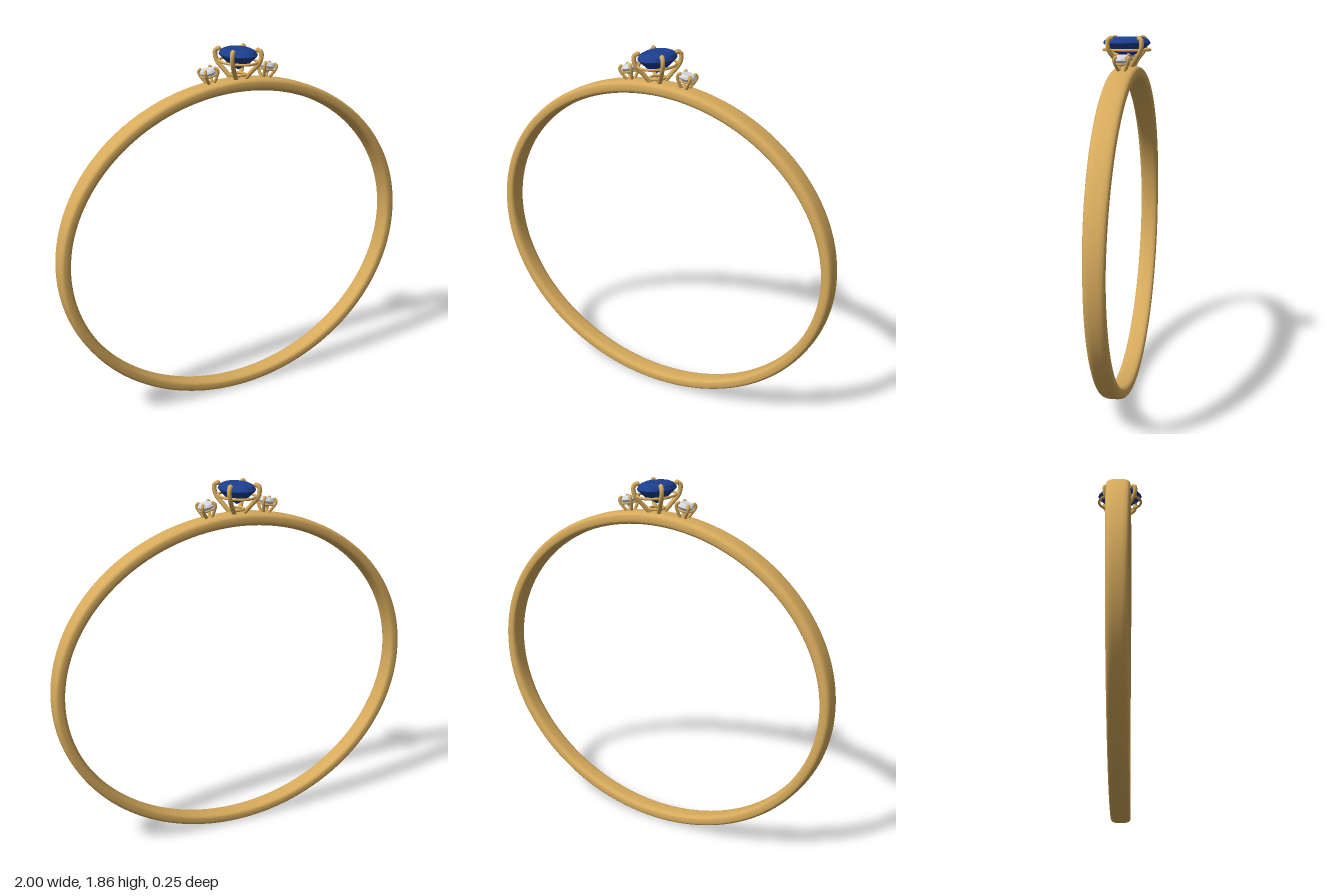
import * as THREE from 'three';

const gold = new THREE.MeshStandardMaterial({ name: 'gold', color: 0xd6aa5c });
const blue = new THREE.MeshStandardMaterial({ name: 'blue gem', color: 0x1d3f8f, flatShading: true });
const clear = new THREE.MeshStandardMaterial({ name: 'clear gem', color: 0xd6d9de, flatShading: true });

const CY = 0.855; // centre height of the band
const RY = 0.855;

function add(parent, name, geometry, material) {
  const mesh = new THREE.Mesh(geometry, material);
  mesh.name = name;
  parent.add(mesh);
  return mesh;
}

// Oval band: a rounded-rectangle section swept round an ellipse, wider and thicker at the top
function bandGeometry(nu = 160, nv = 32) {
  const pos = [], idx = [];
  const soft = (s) => Math.sign(s) * Math.pow(Math.abs(s), 2 / 3.2);
  for (let i = 0; i < nu; i++) {
    const t = (i / nu) * Math.PI * 2, c = Math.cos(t), s = Math.sin(t);
    const n = new THREE.Vector2(c, s / RY).normalize();
    const half = 0.05 + 0.0125 * Math.max(0, s);
    const thick = 0.059 + 0.008 * Math.max(0, s) ** 2;
    for (let j = 0; j < nv; j++) {
      const v = (j / nv) * Math.PI * 2;
      const d = (soft(Math.cos(v)) - 1) * thick / 2;
      pos.push(c + n.x * d, CY + s * RY + n.y * d, soft(Math.sin(v)) * half);
      const a = i * nv + j, b = ((i + 1) % nu) * nv + j;
      const a2 = i * nv + (j + 1) % nv, b2 = ((i + 1) % nu) * nv + (j + 1) % nv;
      idx.push(a, b, b2, a, b2, a2);
    }
  }
  const g = new THREE.BufferGeometry();
  g.setAttribute('position', new THREE.Float32BufferAttribute(pos, 3));
  g.setIndex(idx);
  g.computeVertexNormals();
  return g;
}

// Faceted stone with half-widths rx, rz; heights are culet, girdle and table
function gemGeometry(rx, rz, culet, girdle, table, sides) {
  const crown = table - girdle, deep = girdle - culet;
  const profile = [
    [0, culet], [0.55, culet + deep * 0.4], [0.97, girdle - deep * 0.08],
    [1, girdle], [0.88, girdle + crown * 0.65], [0.66, table], [0, table],
  ].map(([r, y]) => new THREE.Vector2(r, y));
  return new THREE.LatheGeometry(profile, sides).scale(rx, 1, rz);
}

// Four claws mirrored in x and z, each with a rounded tip
function addProngs(parent, path, radius) {
  for (const sx of [-1, 1]) for (const sz of [-1, 1]) {
    const pts = path.map(([x, y, z]) => new THREE.Vector3(x * sx, y, z * sz));
    add(parent, 'prong', new THREE.TubeGeometry(new THREE.CatmullRomCurve3(pts), 20, radius, 10), gold);
    const tip = add(parent, 'prongTip', new THREE.SphereGeometry(radius * 1.08, 12, 8), gold);
    tip.position.copy(pts[pts.length - 1]);
  }
}

// Oval wire rail lying flat at height y
function addRail(parent, name, rx, rz, y, radius) {
  const pts = [];
  for (let i = 0; i < 24; i++) {
    const a = (i / 24) * Math.PI * 2;
    pts.push(new THREE.Vector3(rx * Math.cos(a), y, rz * Math.sin(a)));
  }
  add(parent, name, new THREE.TubeGeometry(new THREE.CatmullRomCurve3(pts, true), 64, radius, 8, true), gold);
}

export function createModel() {
  const ring = new THREE.Group();
  ring.name = 'ring';
  add(ring, 'band', bandGeometry(), gold);

  // Large oval centre stone in its basket
  const centre = new THREE.Group();
  centre.name = 'centreSetting';
  centre.position.y = 1.70;
  add(centre, 'centreStone', gemGeometry(0.088, 0.122, 0.05, 0.128, 0.156, 20), blue);
  addRail(centre, 'centreRail', 0.086, 0.118, 0.092, 0.007);
  addRail(centre, 'baseRail', 0.036, 0.042, 0.026, 0.007);
  addProngs(centre, [
    [0.022, 0, 0.022], [0.05, 0.045, 0.05], [0.076, 0.09, 0.08],
    [0.083, 0.125, 0.086], [0.08, 0.145, 0.083], [0.07, 0.151, 0.072],
  ], 0.0115);
  ring.add(centre);

  // Small round stone either side, leaning outward with the band
  for (const side of [-1, 1]) {
    const small = new THREE.Group();
    small.name = side > 0 ? 'leftSetting' : 'rightSetting';
    small.position.set(side * 0.156, 1.694, 0);
    small.rotation.z = -side * 0.2;
    add(small, 'sideStone', gemGeometry(0.043, 0.043, 0.024, 0.062, 0.078, 12), clear);
    addRail(small, 'sideRail', 0.037, 0.037, 0.044, 0.005);
    addProngs(small, [
      [0.012, 0, 0.012], [0.024, 0.026, 0.024], [0.034, 0.055, 0.034],
      [0.034, 0.07, 0.034], [0.028, 0.076, 0.028],
    ], 0.008);
    ring.add(small);
  }
  return ring;
}
